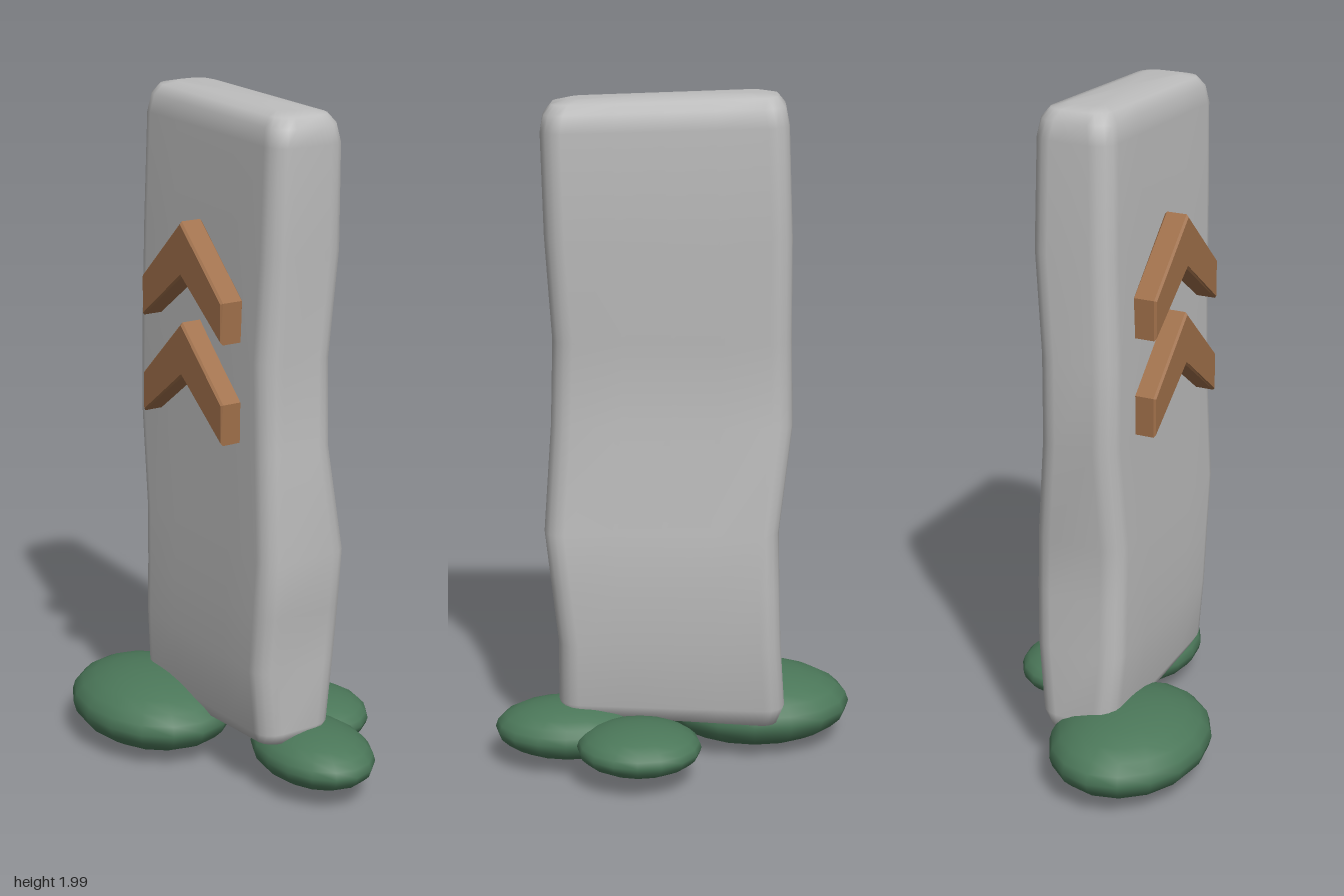
import * as THREE from 'three';

const stone = new THREE.MeshStandardMaterial({ color: 0xbcbcbc });
stone.name = 'stone grey';
const wood = new THREE.MeshStandardMaterial({ color: 0xa0704a });
wood.name = 'wood brown';
const leaf = new THREE.MeshStandardMaterial({ color: 0x4b7759 });
leaf.name = 'leaf green';

const TURN = -THREE.MathUtils.degToRad(25);

// Rounded rectangle outline, reaching l / r sideways and f / b to front and back
function outline(l, r, f, b, radius) {
  const points = [];
  const corners = [[r, f, 0], [-l, f, 1], [-l, -b, 2], [r, -b, 3]];
  corners.forEach(([x, z, quarter], k) => {
    const cx = x - Math.sign(x) * radius;
    const cz = z - Math.sign(z) * radius;
    for (let i = 0; i <= 4; i++) {
      const a = (quarter + i / 4) * Math.PI / 2;
      points.push([cx + radius * Math.cos(a), cz + radius * Math.sin(a)]);
    }
    // extra points along the two broad faces
    if (k % 2 === 0) {
      const [x0, z0] = points[points.length - 1];
      const [nx, nz] = corners[k + 1];
      const x1 = nx - Math.sign(nx) * radius;
      for (const t of [0.25, 0.5, 0.75]) points.push([x0 + (x1 - x0) * t, z0 + (nz - z0) * t]);
    }
  });
  return points;
}

// Weathered slab lofted through uneven sections
function slabGeometry() {
  // height, left, right, front, back, corner radius, tilt towards the right
  const sections = [
    [0.145, 0.29, 0.26, 0.07, 0.07, 0.04, 0.025],
    [0.155, 0.33, 0.30, 0.10, 0.10, 0.05, 0.02],
    [0.20, 0.350, 0.318, 0.122, 0.117, 0.06, 0.01],
    [0.40, 0.336, 0.315, 0.138, 0.140, 0.06, 0],
    [0.57, 0.331, 0.333, 0.138, 0.142, 0.06, 0],
    [0.74, 0.327, 0.351, 0.139, 0.141, 0.06, 0],
    [1.05, 0.364, 0.330, 0.132, 0.103, 0.06, 0],
    [1.30, 0.358, 0.322, 0.131, 0.106, 0.06, 0],
    [1.60, 0.356, 0.339, 0.122, 0.125, 0.06, 0],
    [1.90, 0.344, 0.346, 0.115, 0.121, 0.06, -0.01],
    [1.95, 0.334, 0.338, 0.106, 0.112, 0.06, -0.012],
    [1.977, 0.312, 0.316, 0.086, 0.092, 0.05, -0.013],
    [1.987, 0.27, 0.27, 0.05, 0.056, 0.035, -0.013],
  ];
  const pos = [], index = [];
  let n = 0;
  for (const [y, l, r, f, b, radius, tilt] of sections) {
    const ring = outline(l, r, f, b, radius);
    n = ring.length;
    for (const [x, z] of ring) pos.push(x, y + tilt * x / 0.35, z);
  }
  const last = (sections.length - 1) * n;
  const bottom = pos.length / 3;
  pos.push(0, 0.14, 0, 0, 1.99, 0);
  for (let j = 0; j < n; j++) {
    const k = (j + 1) % n;
    for (let i = 0; i < last; i += n) {
      index.push(i + j, i + n + j, i + k, i + k, i + n + j, i + n + k);
    }
    index.push(bottom, j, k, bottom + 1, last + k, last + j);
  }
  const geometry = new THREE.BufferGeometry();
  geometry.setAttribute('position', new THREE.Float32BufferAttribute(pos, 3));
  geometry.setIndex(index);
  geometry.computeVertexNormals();
  return geometry;
}

// Upward arrow strip with a slim bevel
function chevronGeometry() {
  const bevel = 0.006;
  const w = 0.207 - bevel;
  const shape = new THREE.Shape([
    new THREE.Vector2(-w, -0.298), new THREE.Vector2(0, -0.148),
    new THREE.Vector2(w, -0.298), new THREE.Vector2(w, -0.192),
    new THREE.Vector2(0, -0.008), new THREE.Vector2(-w, -0.192),
  ]);
  return new THREE.ExtrudeGeometry(shape, {
    depth: 0.06, bevelEnabled: true, bevelSize: bevel, bevelThickness: bevel, bevelSegments: 1,
  });
}

export function createModel() {
  const model = new THREE.Group();
  model.name = 'stoneMarker';

  const marker = new THREE.Group();
  marker.name = 'marker';
  marker.position.set(0.04, 0, 0.03);
  marker.rotation.y = TURN;
  model.add(marker);

  const slab = new THREE.Mesh(slabGeometry(), stone);
  slab.name = 'slab';
  marker.add(slab);

  // Two stacked arrows on the front face
  const chevron = chevronGeometry();
  [['upperChevron', 1.652], ['lowerChevron', 1.367]].forEach(([name, y]) => {
    const mesh = new THREE.Mesh(chevron, wood);
    mesh.name = name;
    mesh.position.set(-0.006, y, 0.127);
    marker.add(mesh);
  });

  // Flattened bushes around the foot
  const ball = new THREE.SphereGeometry(1, 16, 12);
  [
    ['largeBush', [-0.26, 0.12, 0.05], [0.29, 0.112, 0.228]],
    ['rightBush', [0.328, 0.118, 0.097], [0.22, 0.083, 0.157]],
    ['backBush', [0.198, 0.12, -0.13], [0.182, 0.07, 0.161]],
  ].forEach(([name, position, size]) => {
    const bush = new THREE.Mesh(ball, leaf);
    bush.name = name;
    bush.position.set(...position);
    bush.scale.set(...size);
    bush.rotation.y = TURN;
    model.add(bush);
  });

  return model;
}
